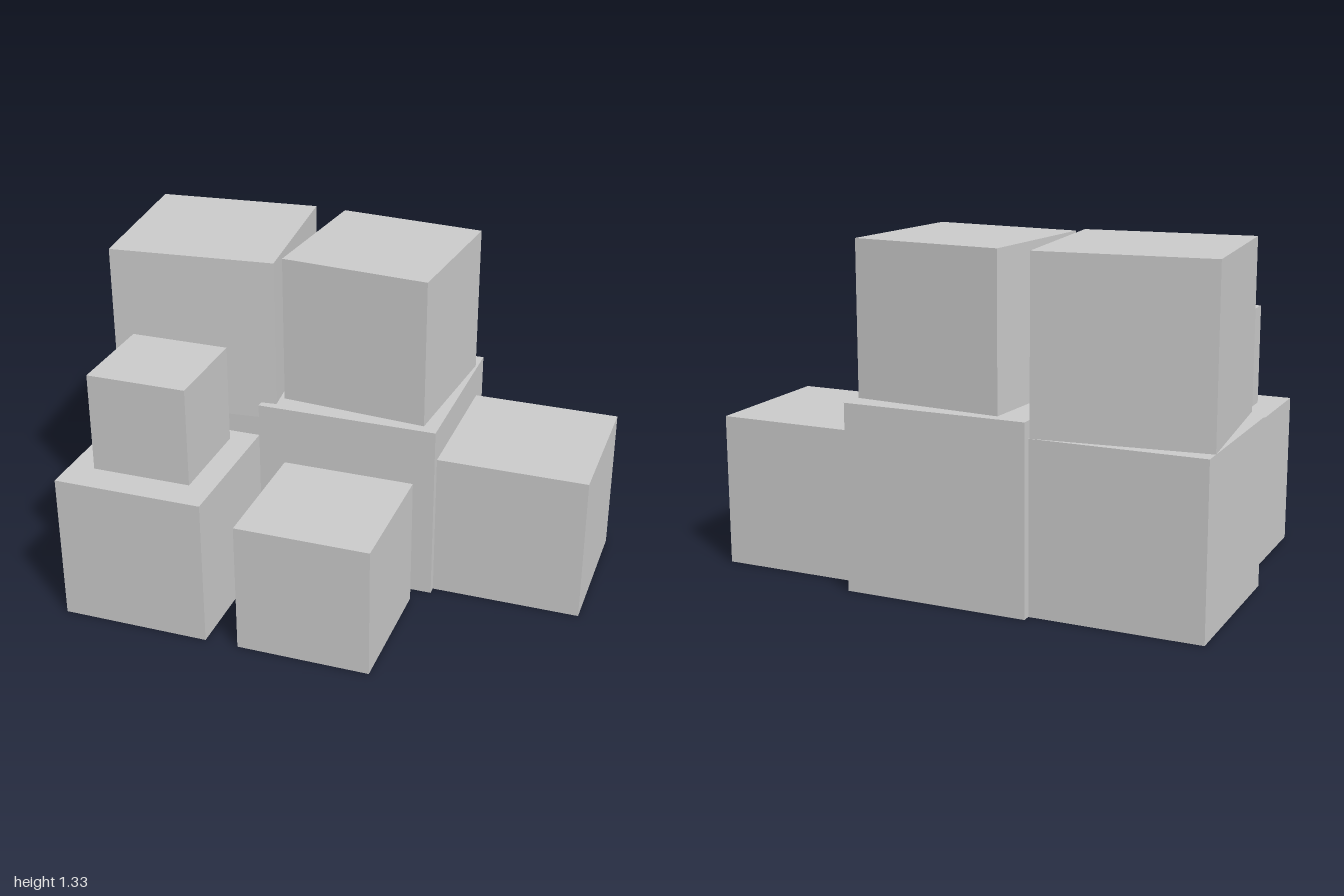
import * as THREE from 'three';

export function createModel() {
  const model = new THREE.Group();
  const stone = new THREE.MeshStandardMaterial({ color: 0xcccccc });
  stone.name = 'light grey';

  // A cube of the given size resting on height y, centred on x and z, turned about the vertical
  function addCube(name, size, x, y, z, turn = 0) {
    const cube = new THREE.Mesh(new THREE.BoxGeometry(size, size, size), stone);
    cube.name = name;
    cube.position.set(x, y + size / 2, z);
    cube.rotation.y = turn;
    model.add(cube);
  }

  // Back row on the ground
  addCube('backRightCube', 0.6667, -0.6667, 0, -0.3);
  addCube('backMiddleCube', 0.7333, 0.0333, 0, -0.3);
  addCube('backLeftCube', 0.6, 0.7, 0, -0.2667);

  // Front row on the ground
  addCube('frontRightCube', 0.6, -0.6333, 0, 0.3667);
  addCube('frontMiddleCube', 0.5333, 0.0667, 0, 0.4);

  // Stacked cubes, the upper pair slightly turned
  addCube('smallTopCube', 0.4, -0.6333, 0.6, 0.3333);
  addCube('upperRightCube', 0.6667, -0.635, 0.6667, -0.2667, 0.1);
  addCube('upperLeftCube', 0.6, 0.0667, 0.7333, -0.3, -0.083);

  return model;
}
